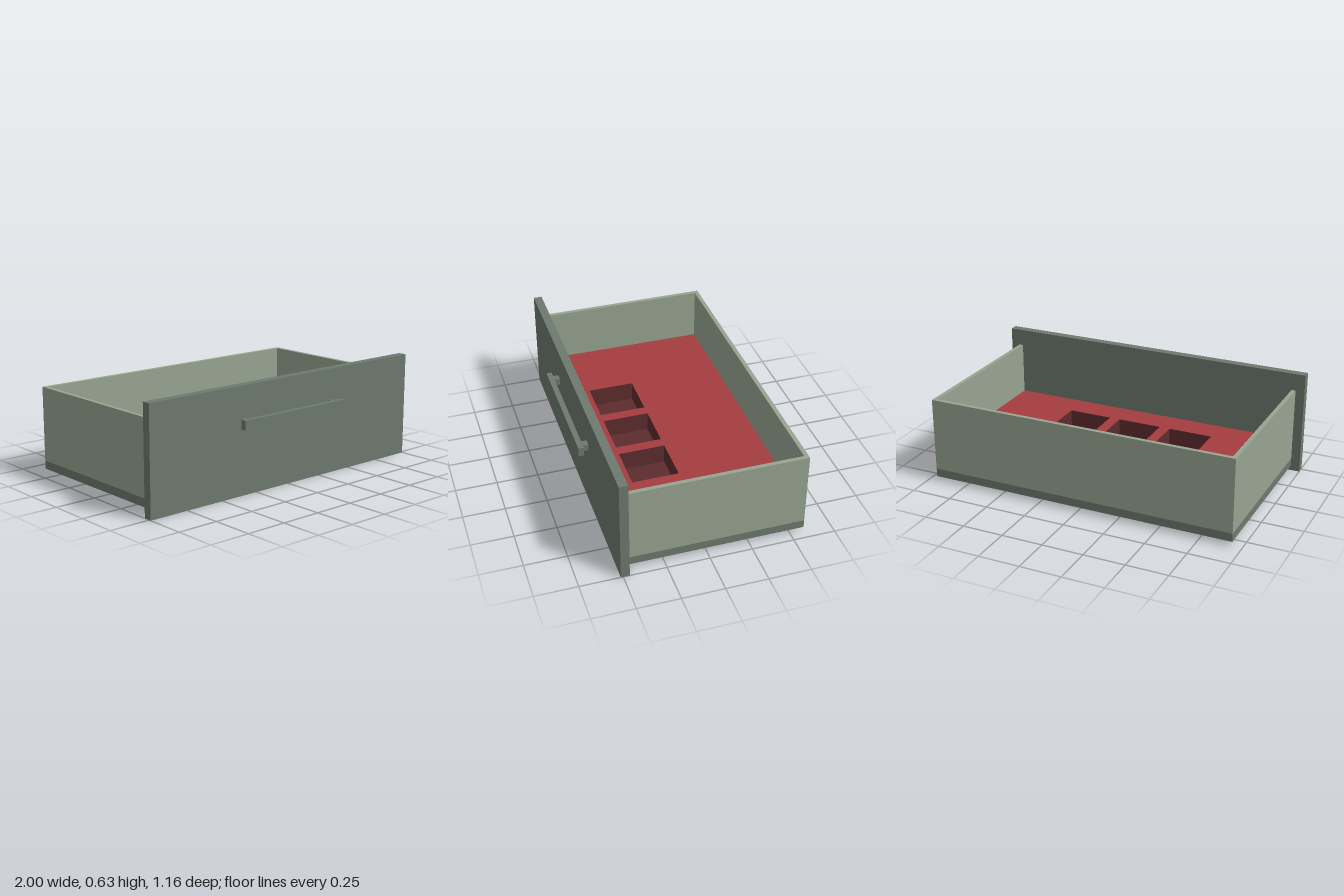
import * as THREE from 'three';

const mat = (name, color) => {
  const m = new THREE.MeshStandardMaterial({ color });
  m.name = name;
  return m;
};

export function createModel() {
  const sage = mat('sage', 0x98a491);
  const darkSage = mat('dark sage', 0x6d796e);
  const red = mat('red', 0xa43d3f);
  const darkRed = mat('dark red', 0x5e2c2e);
  const group = new THREE.Group();
  group.name = 'drawer';

  // Box given by its min and max corners
  const box = (name, material, [x0, y0, z0], [x1, y1, z1]) => {
    const mesh = new THREE.Mesh(new THREE.BoxGeometry(x1 - x0, y1 - y0, z1 - z0), material);
    mesh.position.set((x0 + x1) / 2, (y0 + y1) / 2, (z0 + z1) / 2);
    mesh.name = name;
    group.add(mesh);
  };

  const W = 0.945, T = 0.025, BACK = -0.58, FRONT = 0.463;
  const BASE = 0.03, FLOOR = 0.08, LINER = 0.205, TOP = 0.528;

  // Front panel, base and walls
  box('frontPanel', darkSage, [-1, 0, FRONT], [1, 0.632, 0.514]);
  box('base', darkSage, [-W, BASE, BACK], [W, FLOOR, FRONT]);
  box('backWall', sage, [-W, FLOOR, BACK], [W, TOP, BACK + T]);
  box('leftWall', sage, [W - T, FLOOR, BACK + T], [W, TOP, FRONT]);
  box('rightWall', sage, [-W, FLOOR, BACK + T], [-W + T, TOP, FRONT]);

  // Handle: bar on two posts
  box('handleBar', darkSage, [-0.394, 0.396, 0.548], [0.394, 0.45, 0.58]);
  for (const x of [-0.343, 0.343]) {
    box('handlePost', darkSage, [x - 0.02, 0.402, 0.514], [x + 0.02, 0.444, 0.548]);
  }

  // Liner with three square wells; shape y is -z
  const rect = (path, x0, x1, z0, z1) => {
    path.moveTo(x0, -z1);
    path.lineTo(x1, -z1);
    path.lineTo(x1, -z0);
    path.lineTo(x0, -z0);
    path.closePath();
    return path;
  };
  const shape = rect(new THREE.Shape(), -W + T, W - T, BACK + T, FRONT);
  for (const x of [-0.342, 0, 0.342]) {
    const x0 = x - 0.138, x1 = x + 0.138, z0 = 0.015, z1 = 0.295;
    shape.holes.push(rect(new THREE.Path(), x0, x1, z0, z1));
    box('wellFloor', darkRed, [x0, FLOOR, z0], [x1, FLOOR + 0.005, z1]);
  }
  const geometry = new THREE.ExtrudeGeometry(shape, { depth: LINER - FLOOR, bevelEnabled: false });
  geometry.rotateX(-Math.PI / 2);
  const liner = new THREE.Mesh(geometry, [red, darkRed]);
  liner.position.y = FLOOR;
  liner.name = 'liner';
  group.add(liner);

  return group;
}
